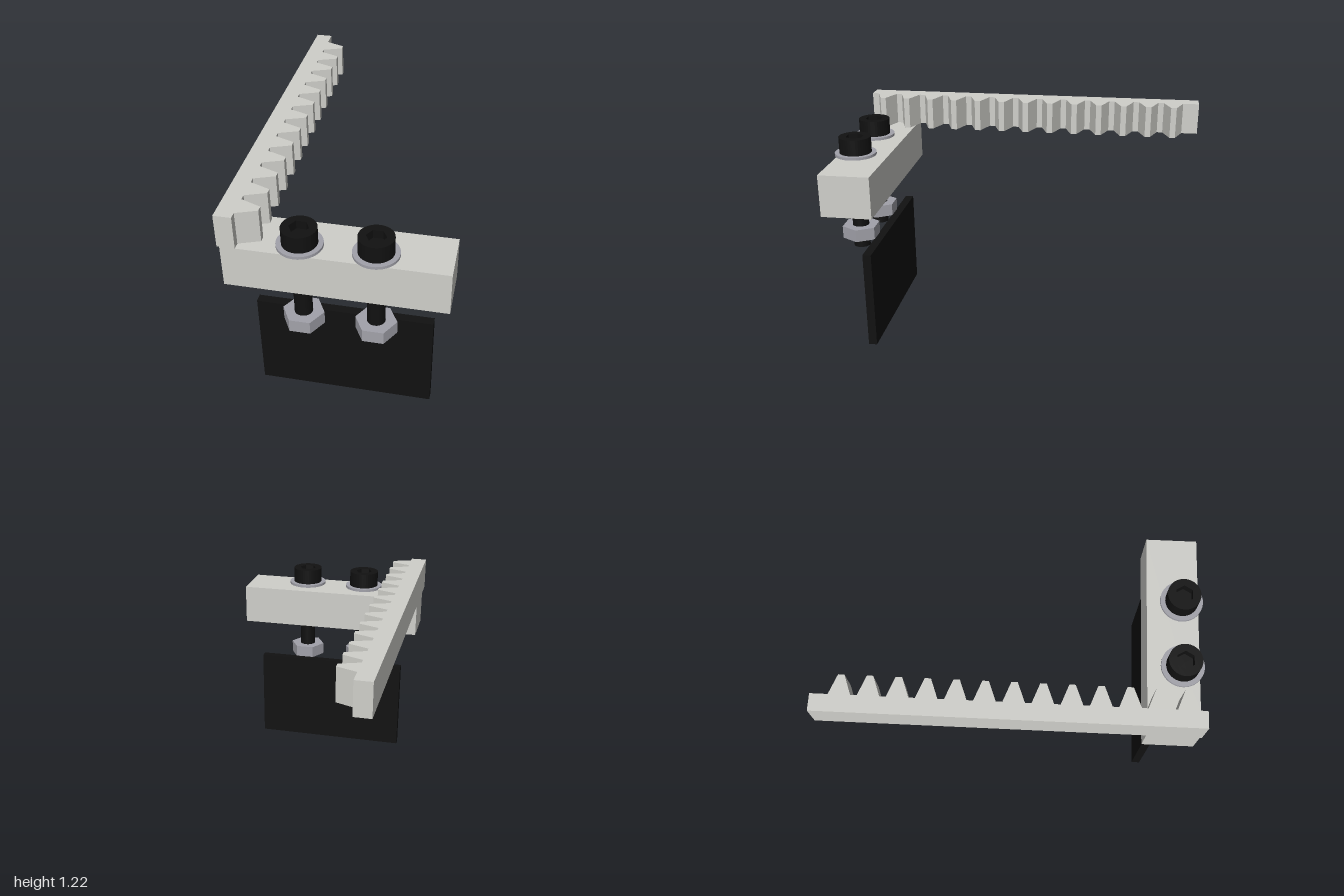
import * as THREE from 'three';

const paint = (color) => new THREE.MeshStandardMaterial({ color });
const plastic = paint(0xcfcfca);
const steel = paint(0xa2a2aa);
const black = paint(0x111111);

function add(parent, name, geometry, material, x = 0, y = 0, z = 0) {
  const mesh = new THREE.Mesh(geometry, material);
  mesh.name = name;
  mesh.position.set(x, y, z);
  parent.add(mesh);
  return mesh;
}

// Box given by its lower and upper corners
function addBox(parent, name, material, a, b) {
  const size = b.map((v, i) => v - a[i]);
  const mid = b.map((v, i) => (v + a[i]) / 2);
  return add(parent, name, new THREE.BoxGeometry(...size), material, ...mid);
}

// Flat outline (x, -z) raised from y0 to y1
function raise(shape, y0, y1) {
  const g = new THREE.ExtrudeGeometry(shape, { depth: y1 - y0, bevelEnabled: false, curveSegments: 20 });
  return g.rotateX(-Math.PI / 2).translate(0, y0, 0);
}

// Regular hexagon with corners on the x axis
function hexagon(radius, Type = THREE.Shape) {
  const points = [];
  for (let i = 0; i < 6; i++) {
    const a = (i * Math.PI) / 3;
    points.push(new THREE.Vector2(radius * Math.cos(a), radius * Math.sin(a)));
  }
  return new Type(points);
}

function disc(radius, Type = THREE.Shape) {
  return new Type().absarc(0, 0, radius, 0, Math.PI * 2, false);
}

// Toothed bar running front to back, teeth towards +x
function rackGeometry() {
  const back = -0.56, root = -0.47, tip = -0.365;
  const first = -0.852, pitch = 0.1444, count = 13;
  const s = new THREE.Shape();
  s.moveTo(back, 1);
  s.lineTo(back, -0.975);
  s.lineTo(root, -0.975);
  for (let i = count - 1; i >= 0; i--) {
    const z = first + i * pitch;
    s.lineTo(root, -(z + 0.056));
    s.lineTo(tip, -(z + 0.016));
    s.lineTo(tip, -(z - 0.016));
    s.lineTo(root, -(z - 0.056));
  }
  s.lineTo(root, 1);
  s.closePath();
  return raise(s, 1.036, 1.215);
}

// Socket-head bolt with washer and nut
function createBolt(x) {
  const bolt = new THREE.Group();
  bolt.name = 'bolt';
  bolt.position.set(x, 0, 0.885);

  const head = disc(0.088);
  head.holes.push(hexagon(0.05, THREE.Path));
  add(bolt, 'boltHead', raise(head, 1.05, 1.14), black);
  add(bolt, 'socketFloor', new THREE.CylinderGeometry(0.07, 0.07, 0.04, 24), black, 0, 1.075, 0);
  add(bolt, 'boltShank', new THREE.CylinderGeometry(0.046, 0.046, 0.56, 32), black, 0, 0.775, 0);

  const washer = disc(0.114);
  washer.holes.push(disc(0.047, THREE.Path));
  add(bolt, 'washer', raise(washer, 1.036, 1.051), steel);

  const nut = hexagon(0.106);
  nut.holes.push(disc(0.047, THREE.Path));
  add(bolt, 'nut', raise(nut, 0.551, 0.622), steel);
  return bolt;
}

export function createModel() {
  const model = new THREE.Group();
  model.name = 'rackCarrier';

  add(model, 'toothedRack', rackGeometry(), plastic);
  addBox(model, 'crossBeam', plastic, [-0.547, 0.805, 0.7], [0.555, 1.036, 0.975]);
  addBox(model, 'hangingPlate', black, [-0.457, 0, 0.75], [0.463, 0.553, 0.797]);
  for (const x of [-0.18, 0.188]) model.add(createBolt(x));

  return model;
}
